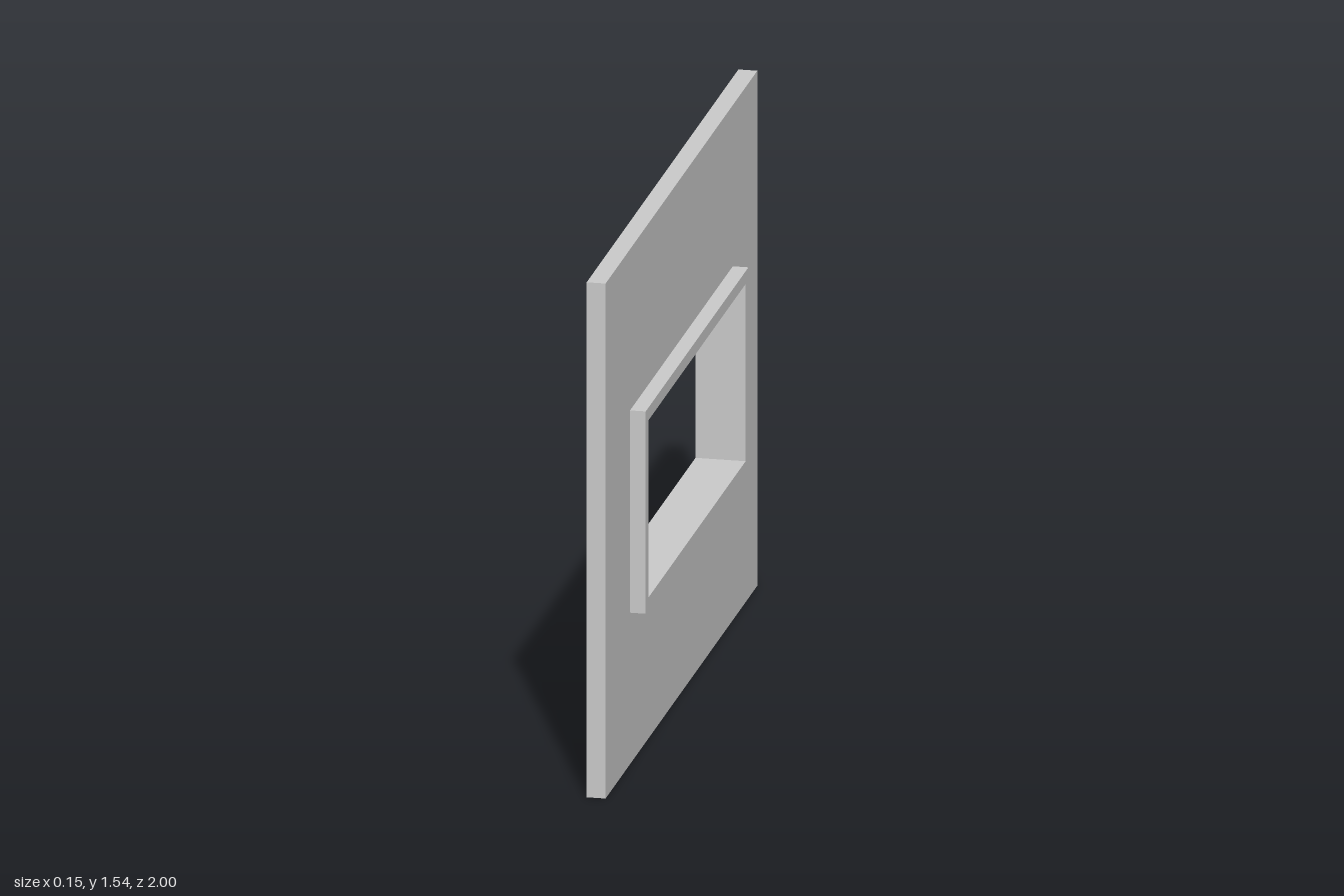
import * as THREE from 'three';

const material = new THREE.MeshStandardMaterial({ color: 0xcccccc, flatShading: true });

// Traces a rectangle centred on z = 0, as [half width, bottom, top]
function trace(path, [w, y0, y1]) {
  path.moveTo(-w, y0);
  path.lineTo(w, y0);
  path.lineTo(w, y1);
  path.lineTo(-w, y1);
  path.closePath();
  return path;
}

// Rectangular slab with a rectangular opening, lying in the z-y plane
function piercedSlab(name, outer, opening, thickness) {
  const shape = trace(new THREE.Shape(), outer);
  shape.holes.push(trace(new THREE.Path(), opening));
  const geometry = new THREE.ExtrudeGeometry(shape, { depth: thickness, bevelEnabled: false });
  geometry.translate(0, 0, -thickness / 2).rotateY(Math.PI / 2);
  const mesh = new THREE.Mesh(geometry, material);
  mesh.name = name;
  return mesh;
}

export function createModel() {
  const wallRect = [1, 0, 1.54];
  const frameRect = [0.677, 0.453, 1.058];
  const openingRect = [0.64, 0.49, 1.02];

  const model = new THREE.Group();
  model.name = 'wallWithWindow';
  // Wall panel, cut out to take the frame
  model.add(piercedSlab('wall', wallRect, frameRect, 0.055));
  // Window frame, standing proud on both faces
  model.add(piercedSlab('windowFrame', frameRect, openingRect, 0.146));
  return model;
}
